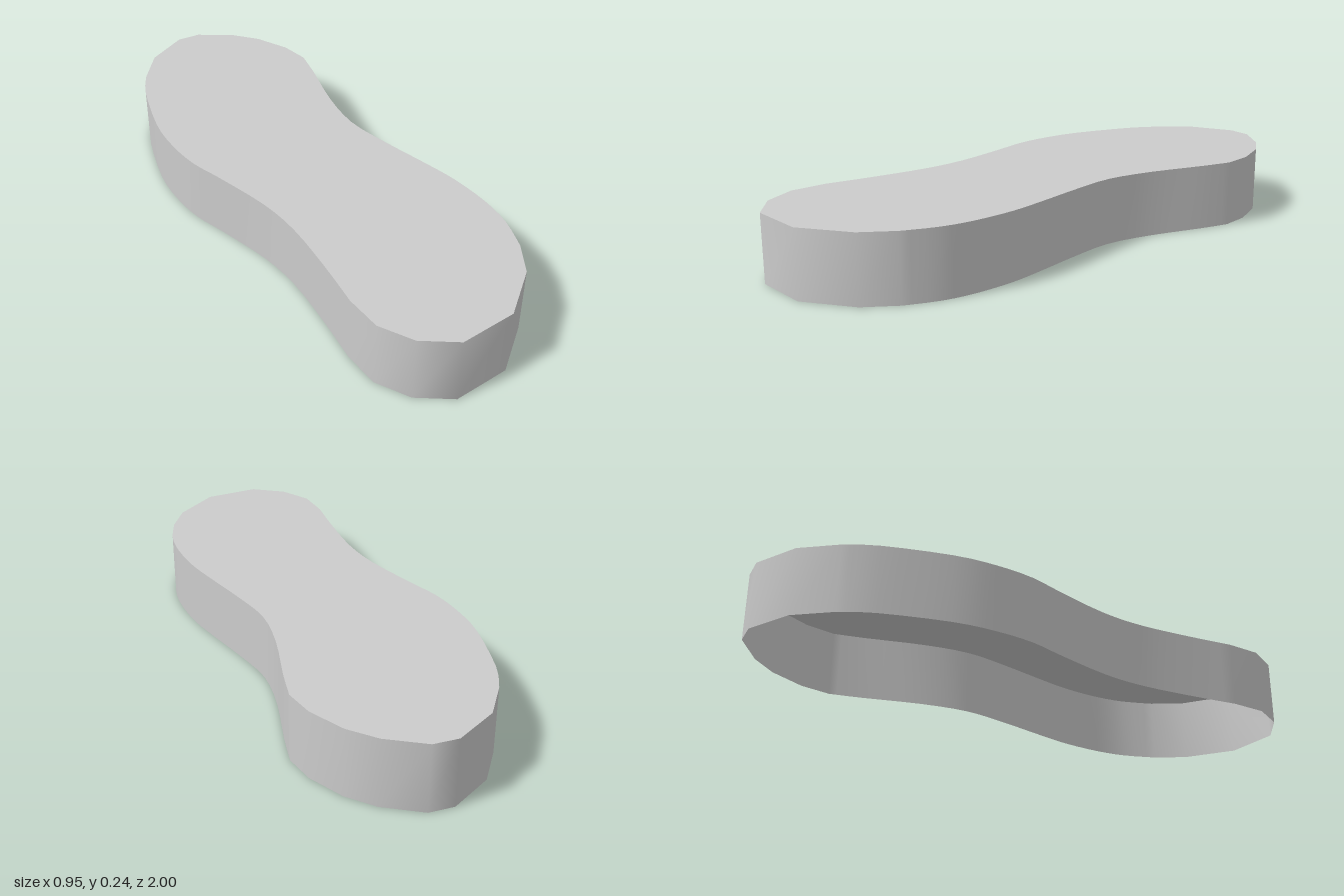
import * as THREE from 'three';

const HEIGHT = 0.236;

// Smooth flank through a few [x, z] points
const flank = (pts) =>
  new THREE.SplineCurve(pts.map(([x, z]) => new THREE.Vector2(x, z))).getPoints((pts.length - 1) * 3);
// Straight-edged end
const corners = (pts) => pts.map(([x, z]) => new THREE.Vector2(x, z));

// Closed outline seen from above: back end, left flank, front end, right flank
function makeOutline() {
  return [
    ...corners([[-0.378, -0.873], [-0.25, -0.985], [-0.165, -1], [-0.03, -0.95], [0.06, -0.885], [0.145, -0.78]]),
    ...flank([[0.188, -0.68], [0.19, -0.56], [0.185, -0.35], [0.205, -0.175], [0.27, -0.02], [0.36, 0.16],
      [0.415, 0.28], [0.457, 0.42], [0.472, 0.54], [0.46, 0.665]]),
    ...corners([[0.42, 0.785], [0.295, 0.94], [0.105, 1], [-0.02, 0.95], [-0.105, 0.855]]),
    ...flank([[-0.14, 0.73], [-0.16, 0.555], [-0.193, 0.355], [-0.246, 0.195], [-0.345, 0.005], [-0.41, -0.11],
      [-0.453, -0.24], [-0.476, -0.39], [-0.468, -0.62], [-0.44, -0.74]]),
  ];
}

// Vertical band following the outline, with smooth normals
function makeWall(outline) {
  const positions = [];
  const index = [];
  const n = outline.length;
  outline.forEach((p, i) => {
    positions.push(p.x, 0, p.y, p.x, HEIGHT, p.y);
    const a = 2 * i;
    const b = 2 * ((i + 1) % n);
    index.push(a, a + 1, b, b, a + 1, b + 1);
  });
  const geometry = new THREE.BufferGeometry();
  geometry.setAttribute('position', new THREE.Float32BufferAttribute(positions, 3));
  geometry.setIndex(index);
  geometry.computeVertexNormals();
  return geometry;
}

export function createModel() {
  const group = new THREE.Group();
  group.name = 'soleShell';
  const material = new THREE.MeshStandardMaterial({ color: 0xcccccc, side: THREE.DoubleSide });
  const outline = makeOutline();

  const add = (name, geometry) => {
    const mesh = new THREE.Mesh(geometry, material);
    mesh.name = name;
    group.add(mesh);
  };

  // Side wall, open underneath
  add('sideWall', makeWall(outline));

  // Flat top closing the wall
  const shape = new THREE.Shape(outline.map((p) => new THREE.Vector2(p.x, -p.y)));
  add('topPlate', new THREE.ShapeGeometry(shape).rotateX(-Math.PI / 2).translate(0, HEIGHT, 0));

  return group;
}
